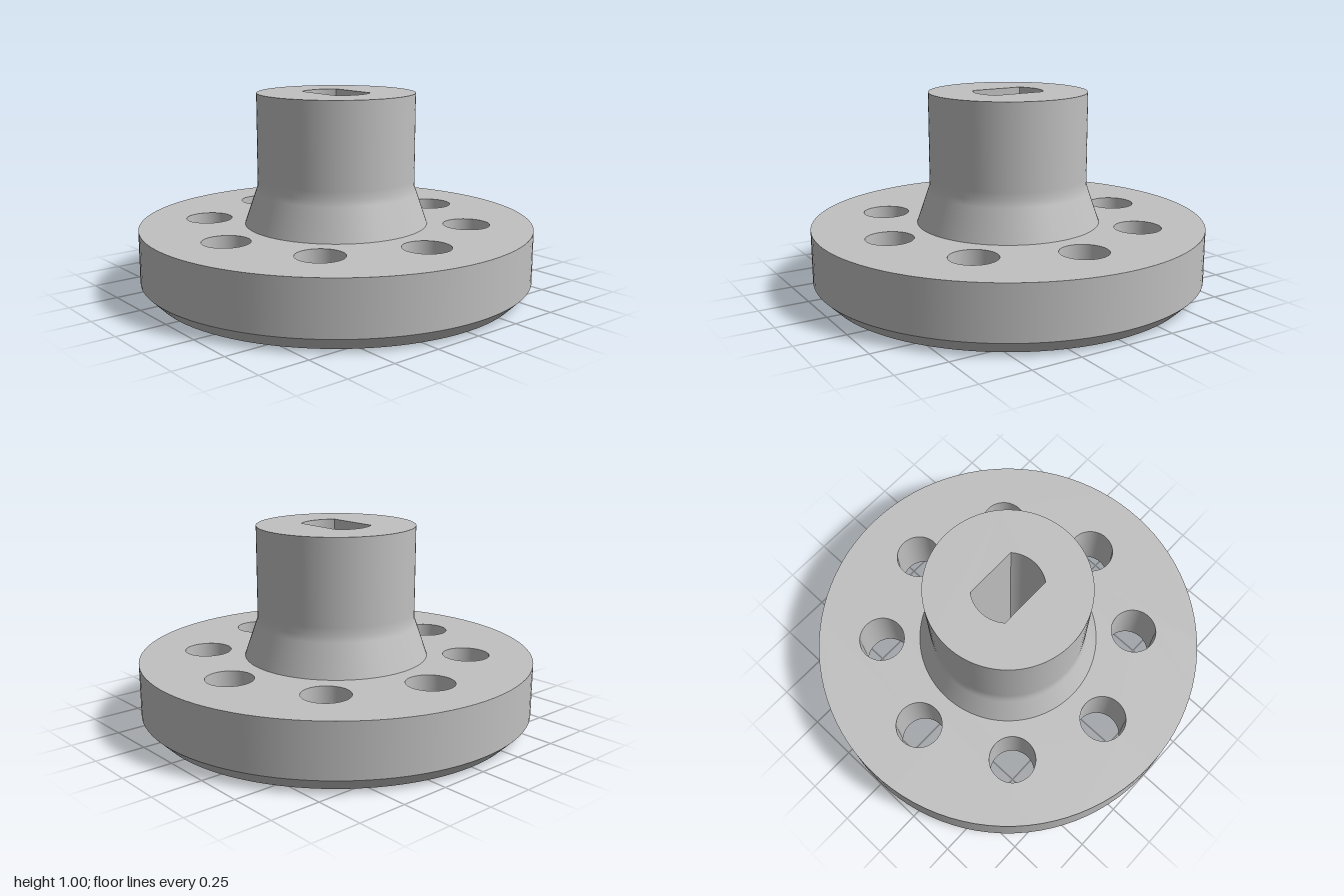
import * as THREE from 'three';

const SEG = 96;
const FLANGE_TOP = 0.335, HUB_TOP = 1, CHAMFER = 0.068;
const HUB_R = 0.4, CONE_R = 0.467;
const HOLE_R = 0.118, HOLE_RING = 0.667, HOLES = 8;
const BORE_R = 0.176, BORE_HALF = 0.11;
const BORE_ANGLE = Math.asin(BORE_HALF / BORE_R);

// Upward profiles face outward, downward profiles face inward
function lathe(profile, start = 0, length = Math.PI * 2, segments = SEG) {
  return new THREE.LatheGeometry(profile.map(([r, y]) => new THREE.Vector2(r, y)), segments, start, length);
}

function circle(Type, x, y, r) {
  const c = new Type();
  c.absarc(x, y, r, 0, Math.PI * 2, false);
  return c;
}

// Double-D outline of the shaft bore
function borePath() {
  const p = new THREE.Path();
  const a = Math.PI / 2;
  p.absarc(0, 0, BORE_R, a - BORE_ANGLE, a + BORE_ANGLE, false);
  p.absarc(0, 0, BORE_R, 3 * a - BORE_ANGLE, 3 * a + BORE_ANGLE, false);
  p.closePath();
  return p;
}

function flatFace(radius, holes, y, up) {
  const shape = circle(THREE.Shape, 0, 0, radius);
  shape.holes.push(...holes);
  return new THREE.ShapeGeometry(shape, SEG / 2).rotateX(up ? -Math.PI / 2 : Math.PI / 2).translate(0, y, 0);
}

export function createModel() {
  const model = new THREE.Group();
  model.name = 'flangedHub';
  const metal = new THREE.MeshStandardMaterial({ color: 0xc0c0c0 });
  metal.name = 'grey metal';
  const add = (name, geometry, parent = model) => {
    const mesh = new THREE.Mesh(geometry, metal);
    mesh.name = name;
    parent.add(mesh);
    return mesh;
  };

  const centres = Array.from({ length: HOLES }, (_, i) => {
    const a = (i / HOLES) * Math.PI * 2;
    return [Math.cos(a) * HOLE_RING, Math.sin(a) * HOLE_RING];
  });
  const boltPaths = () => centres.map(([x, y]) => circle(THREE.Path, x, y, HOLE_R));

  // Flange disc with chamfered lower edge
  add('flangeChamfer', lathe([[1 - CHAMFER, 0], [1, CHAMFER]]));
  add('flangeRim', lathe([[1, CHAMFER], [1, FLANGE_TOP]]));
  add('flangeBottom', flatFace(1 - CHAMFER, [...boltPaths(), borePath()], 0, false));
  add('flangeTop', flatFace(1, [...boltPaths(), circle(THREE.Path, 0, 0, CONE_R)], FLANGE_TOP, true));

  // Bolt hole walls
  centres.forEach(([x, z]) => {
    add('boltHole', lathe([[HOLE_R, FLANGE_TOP], [HOLE_R, 0]])).position.set(x, 0, z);
  });

  // Hub with tapered foot, softly blended into the cylinder
  add('hub', lathe([[CONE_R, FLANGE_TOP], [0.41, 0.5], [HUB_R, 0.53], [HUB_R, 0.57], [HUB_R, HUB_TOP]]));
  add('hubTop', flatFace(HUB_R, [borePath()], HUB_TOP, true));

  // Shaft bore: two arcs and two flats
  const bore = new THREE.Group();
  bore.name = 'shaftBore';
  model.add(bore);
  const flatWidth = 2 * BORE_R * Math.cos(BORE_ANGLE);
  for (const side of [1, -1]) {
    const mid = side > 0 ? 0 : Math.PI;
    add('boreArc', lathe([[BORE_R, HUB_TOP], [BORE_R, 0]], mid - BORE_ANGLE, BORE_ANGLE * 2, SEG), bore);
    add('boreFlat', new THREE.PlaneGeometry(flatWidth, HUB_TOP)
      .rotateY(-side * Math.PI / 2).translate(side * BORE_HALF, HUB_TOP / 2, 0), bore);
  }
  return model;
}
